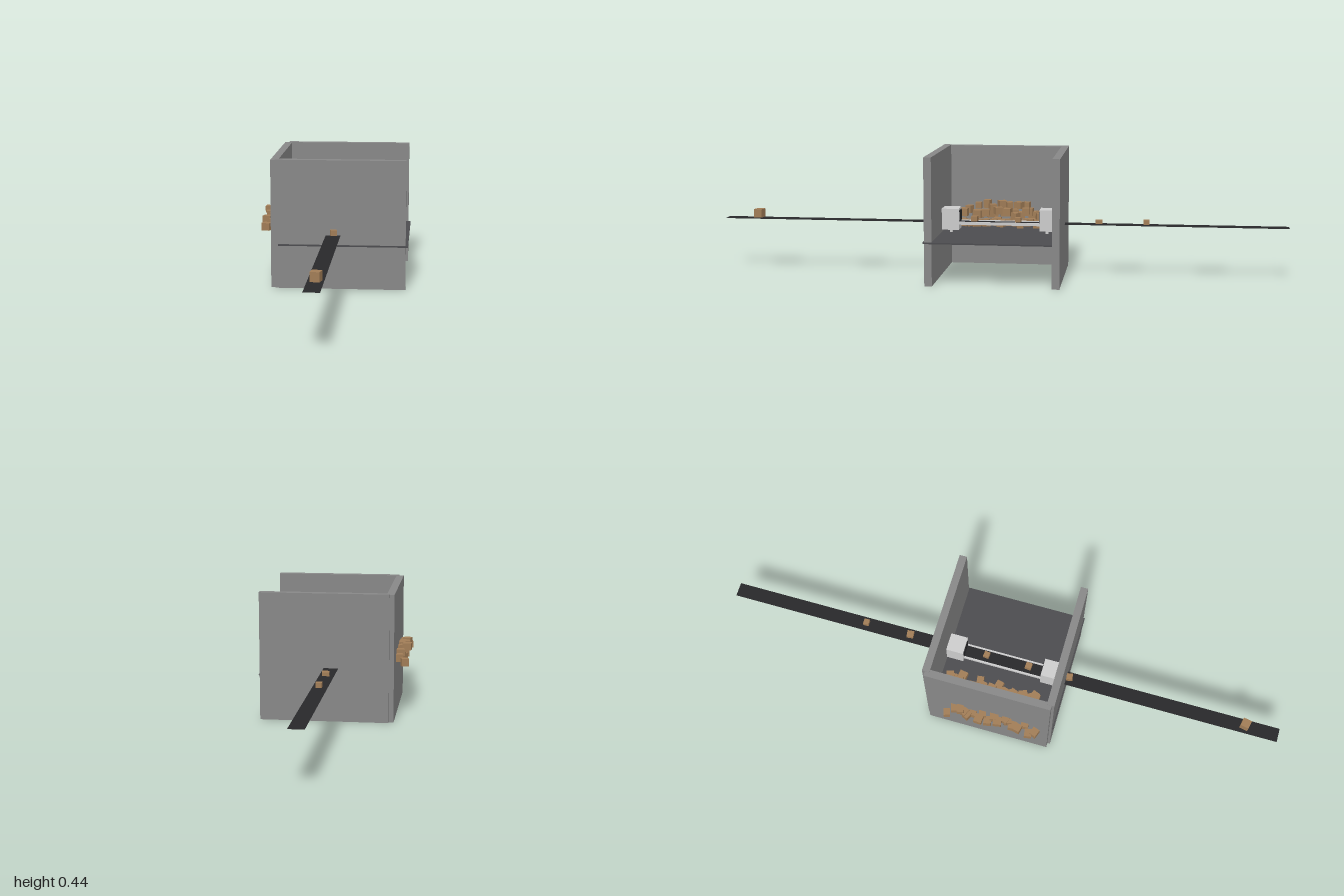
import * as THREE from 'three';

const mat = (name, color, side = THREE.FrontSide) => {
  const m = new THREE.MeshStandardMaterial({ color, side });
  m.name = name;
  return m;
};

export function createModel() {
  const model = new THREE.Group();
  model.name = 'parcelSortingRoom';
  const wallGrey = mat('wallGrey', 0x888888);
  const floorGrey = mat('floorGrey', 0x4c4c4f);
  const beltBlack = mat('beltBlack', 0x28282a, THREE.DoubleSide);
  const casingGrey = mat('casingGrey', 0xcccccc);
  const cardboard = mat('cardboard', 0xa17d57);

  // Box given by its limits on each axis
  const block = (name, material, [x0, x1], [y0, y1], [z0, z1], parent = model) => {
    const mesh = new THREE.Mesh(new THREE.BoxGeometry(x1 - x0, y1 - y0, z1 - z0), material);
    mesh.position.set((x0 + x1) / 2, (y0 + y1) / 2, (z0 + z1) / 2);
    mesh.name = name;
    parent.add(mesh);
    return mesh;
  };

  // Three walls, open towards +x, and the raised floor
  block('frontWall', wallGrey, [-0.19, 0.25], [0, 0.44], [0.208, 0.234]);
  block('backWall', wallGrey, [-0.19, 0.25], [0, 0.44], [-0.225, -0.199]);
  block('sideWall', wallGrey, [-0.206, -0.18], [0, 0.438], [-0.215, 0.225]);
  block('floor', floorGrey, [-0.18, 0.258], [0.147, 0.152], [-0.2, 0.238]);

  // Thin conveyor belt running through both walls
  const belt = new THREE.Mesh(new THREE.PlaneGeometry(0.05, 2), beltBlack);
  belt.name = 'conveyorBelt';
  belt.rotation.x = -Math.PI / 2;
  belt.position.set(0.006, 0.185, 0);
  model.add(belt);

  // Side rails and legs of the conveyor
  for (const x of [-0.018, 0.03]) {
    block('beltRail', casingGrey, [x - 0.003, x + 0.003], [0.178, 0.188], [-0.14, 0.15]);
    for (const z of [-0.165, 0.175]) {
      block('conveyorLeg', casingGrey, [x - 0.004, x + 0.004], [0.142, 0.165], [z - 0.005, z + 0.005]);
    }
  }

  // Scanner tunnels with strip curtains at both ends of the indoor belt
  for (const [z0, z1, inner] of [[0.147, 0.208, 0.146], [-0.199, -0.138, -0.137]]) {
    const tunnel = new THREE.Group();
    tunnel.name = 'scannerTunnel';
    model.add(tunnel);
    block('tunnelRoof', casingGrey, [-0.026, 0.038], [0.226, 0.235], [z0, z1], tunnel);
    block('tunnelBase', casingGrey, [-0.026, 0.038], [0.16, 0.183], [z0, z1], tunnel);
    for (const x of [-0.026, 0.03]) {
      block('tunnelSide', casingGrey, [x, x + 0.008], [0.183, 0.226], [z0, z1], tunnel);
    }
    for (let i = 0; i < 5; i++) {
      const x = -0.017 + i * 0.0095;
      block('curtainStrip', beltBlack, [x, x + 0.0075], [0.188, 0.228], [inner - 0.001, inner + 0.001], tunnel);
    }
  }

  // Parcels
  let seed = 7;
  const rand = (a, b) => {
    seed = (seed * 16807) % 2147483647;
    return a + (b - a) * seed / 2147483647;
  };
  const parcelGeometry = new THREE.BoxGeometry(1, 1, 1);
  const parcel = (x, y, z, w, h, d, turn) => {
    const mesh = new THREE.Mesh(parcelGeometry, cardboard);
    mesh.name = 'parcel';
    mesh.position.set(x, y, z);
    mesh.scale.set(w, h, d);
    mesh.rotation.y = turn;
    model.add(mesh);
  };

  // Parcels riding on the belt: z, size, height
  for (const [z, size, h] of [[0.88, 0.03, 0.03], [0.245, 0.022, 0.018], [0.095, 0.022, 0.018],
    [-0.06, 0.02, 0.016], [-0.345, 0.024, 0.013], [-0.51, 0.02, 0.016]]) {
    parcel(0.008, 0.188 + h / 2, z, size, h, size, rand(-0.2, 0.2));
  }

  // Heap along the side wall: rows of x range, y range, z range, count
  for (const [xs, ys, zs, count] of [
    [[-0.15, -0.075], [0.164, 0.168], [-0.17, 0.17], 26],
    [[-0.165, -0.11], [0.188, 0.208], [-0.17, 0.17], 22],
    [[-0.165, -0.13], [0.215, 0.228], [-0.09, 0.12], 7],
    [[-0.238, -0.205], [0.19, 0.225], [-0.14, 0.185], 18],
  ]) {
    for (let i = 0; i < count; i++) {
      const z = zs[0] + (zs[1] - zs[0]) * (i + 0.5) / count + rand(-0.006, 0.006);
      const s = rand(0.024, 0.031);
      parcel(rand(...xs), rand(...ys), z, s, rand(0.022, 0.03), s * rand(0.85, 1), rand(-0.5, 0.5));
    }
  }
  return model;
}
